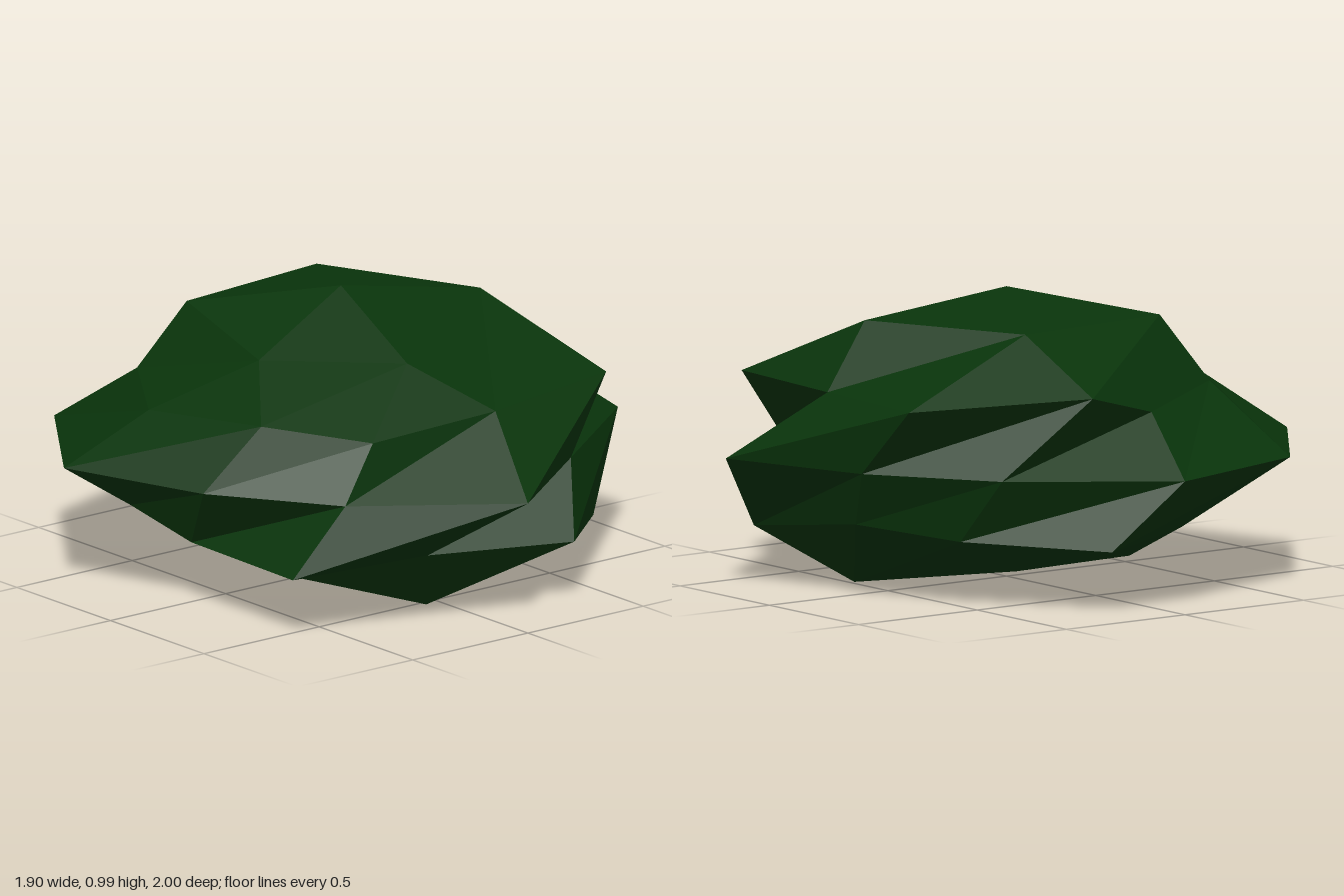
import * as THREE from 'three';

const CENTRE = 0.45;   // height of the widest ring
const SQUASH = 0.535;  // vertical flattening
const DENT = 0.81;     // how far dented corners sink towards the centre
const TWIST = 70.4;    // degrees of twist about y per unit of height
const SWING = 2;       // degrees by which dented corners drift sideways

// A corner given by angle in degrees, unit height and ring radius, twisted about y
function corner(angle, height, radius, dented) {
  const scale = dented ? DENT : 1;
  const a = THREE.MathUtils.degToRad(angle - TWIST * height * scale + (dented ? SWING : 0));
  return new THREE.Vector3(
    Math.cos(a) * radius * scale,
    CENTRE + height * SQUASH * scale,
    Math.sin(a) * radius * scale
  );
}

// Five corners 72 degrees apart; those listed in dents sink inwards
function ring(height, radius, start, dents) {
  return Array.from({ length: 5 }, (_, k) =>
    corner(start + 72 * k, height, radius, dents.includes(k)));
}

function clumpGeometry() {
  // Rings of a once-divided icosahedron, from top to bottom
  const top = corner(0, 1, 0, false);
  const crown = ring(0.851, 0.526, 0, [2, 3]);
  const upperMid = ring(0.526, 0.851, 36, [0, 1, 2, 3]);
  const upper = ring(0.447, 0.894, 0, [2, 3, 4]);
  const waistA = ring(0, 1, 18, [2, 4]);
  const waistB = ring(0, 1, 54, [0, 1, 4]);
  const lower = ring(-0.447, 0.894, 36, [2, 4]);
  const lowerMid = ring(-0.526, 0.851, 0, [1, 2, 3, 4]);
  const base = ring(-0.851, 0.526, 36, [1, 2, 3]);
  const bottom = corner(0, -1, 0, true);

  const points = [];
  // One large face divided into four by its edge midpoints
  const face = (a, b, c, ab, bc, ca) =>
    points.push(a, ca, ab, ab, bc, b, ca, c, bc, ab, ca, bc);

  for (let k = 0; k < 5; k++) {
    const n = (k + 1) % 5;
    face(top, upper[k], upper[n], crown[k], upperMid[k], crown[n]);
    face(upper[k], lower[k], upper[n], waistA[k], waistB[k], upperMid[k]);
    face(upper[n], lower[k], lower[n], waistB[k], lowerMid[n], waistA[n]);
    face(bottom, lower[n], lower[k], base[n], lowerMid[n], base[k]);
  }

  // Unshared corners keep every facet flat
  const geometry = new THREE.BufferGeometry().setFromPoints(points);
  geometry.computeVertexNormals();
  return geometry;
}

export function createModel() {
  const group = new THREE.Group();
  group.name = 'bush';

  const leafGreen = new THREE.MeshStandardMaterial({ color: 0x09340b });
  leafGreen.name = 'leaf green';

  // Twisted, faceted foliage
  const foliage = new THREE.Mesh(clumpGeometry(), leafGreen);
  foliage.name = 'foliage';
  group.add(foliage);
  return group;
}
